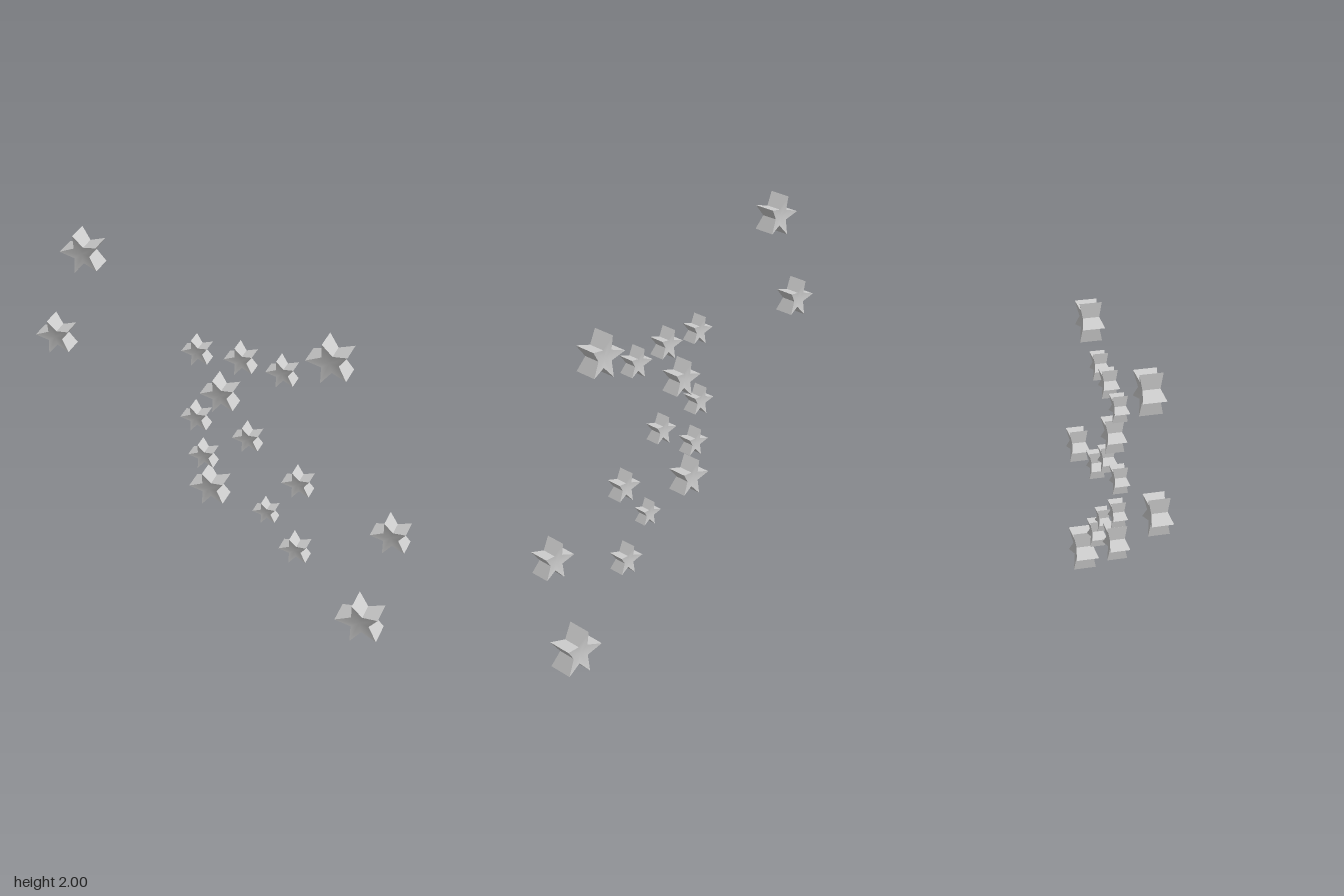
import * as THREE from 'three';
import { toCreasedNormals } from 'three/addons/utils/BufferGeometryUtils.js';

// Unit five-pointed star: one point towards -x, thick at the points, thinner towards the centre.
function starGeometry() {
  const ring = [];
  for (let i = 0; i < 10; i++) {
    const a = (i * Math.PI) / 5, tip = i % 2 === 1;
    const r = tip ? 1 : 0.42;
    ring.push([r * Math.cos(a), r * Math.sin(a), tip ? 0.5 : 0.37]);
  }
  const pos = [];
  const tri = (...corners) => corners.forEach((c) => pos.push(...c));
  const hub = 0.31;
  for (let i = 0; i < 10; i++) {
    const [ax, ay, az] = ring[i], [bx, by, bz] = ring[(i + 1) % 10];
    const af = [ax, ay, az], ab = [ax, ay, -az];
    const bf = [bx, by, bz], bb = [bx, by, -bz];
    tri([0, 0, hub], af, bf); // front
    tri([0, 0, -hub], bb, ab); // back
    tri(ab, bb, bf); // rim
    tri(ab, bf, af);
  }
  const geo = new THREE.BufferGeometry();
  geo.setAttribute('position', new THREE.Float32BufferAttribute(pos, 3));
  return toCreasedNormals(geo, Math.PI / 5);
}

// x, y, radius of each star
const STARS = [
  [0.731, 0.117, 0.123], [-0.664, 1.9, 0.103], [-0.83, 1.4, 0.096], [0.515, 1.624, 0.109],
  [-0.116, 1.5, 0.072], [0.096, 1.512, 0.077], [0.293, 1.496, 0.075], [-0.003, 1.29, 0.093],
  [-0.124, 1.118, 0.074], [0.133, 1.07, 0.073], [-0.089, 0.901, 0.073], [0.386, 0.878, 0.078],
  [-0.055, 0.718, 0.099], [0.23, 0.65, 0.065], [0.847, 0.711, 0.097], [0.383, 0.462, 0.079],
];

export function createModel() {
  const group = new THREE.Group();
  group.name = 'starCluster';
  const geo = starGeometry();
  const mat = new THREE.MeshStandardMaterial({ color: 0xcccccc });
  const turn = Math.PI / 12;
  // All stars lie in one upright plane turned 15 degrees
  STARS.forEach(([x, y, r], i) => {
    const star = new THREE.Mesh(geo, mat);
    star.name = `star${i + 1}`;
    star.position.set(x, y, x * Math.tan(turn));
    star.rotation.y = -turn;
    star.scale.setScalar(r);
    group.add(star);
  });
  return group;
}
